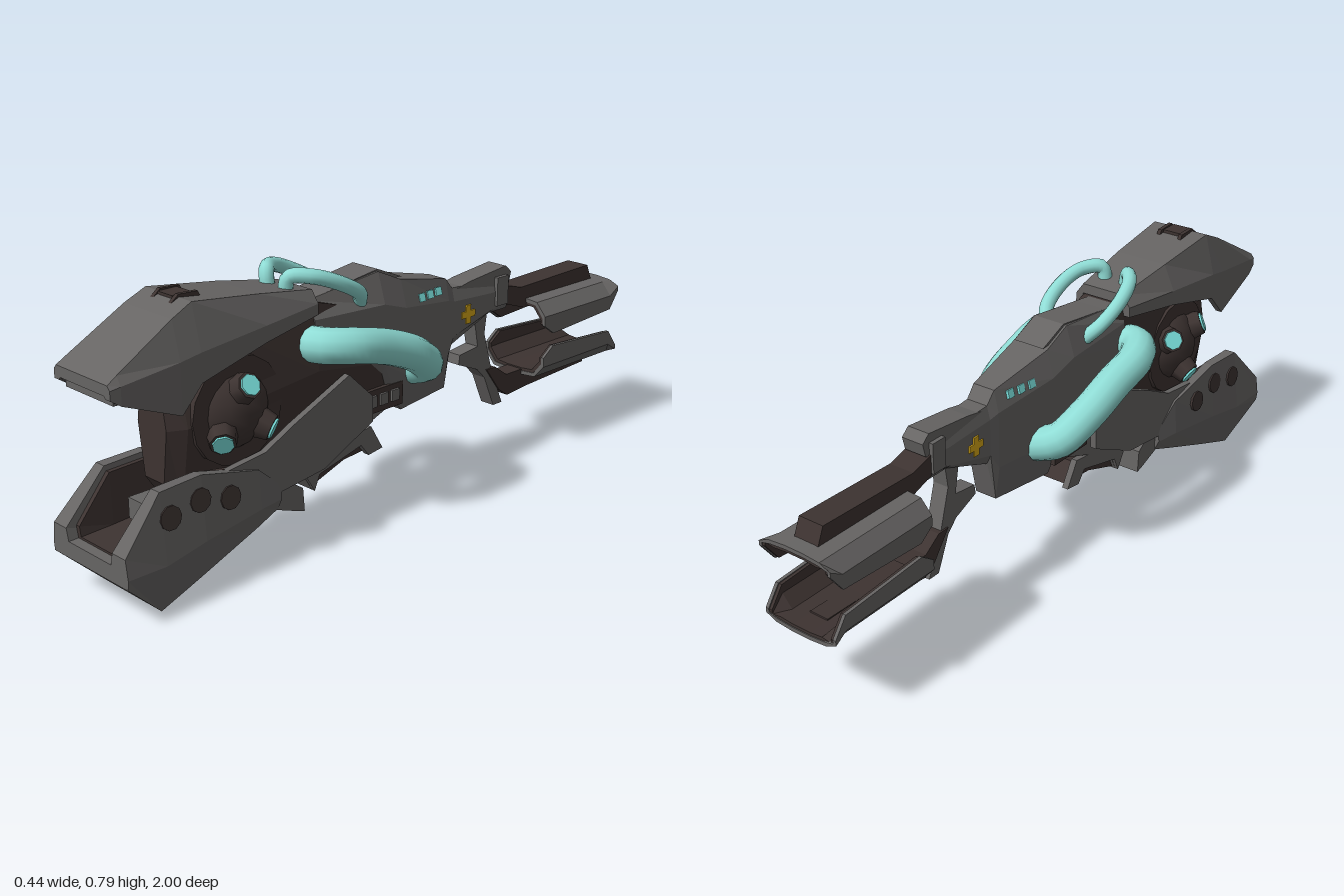
import * as THREE from 'three';

const mat = (name, color) => {
  const m = new THREE.MeshStandardMaterial({ color });
  m.name = name;
  return m;
};

export function createModel() {
  const grey = mat('gunmetal grey', 0x666463);
  const dark = mat('dark brown metal', 0x3d3331);
  const teal = mat('teal hose', 0x8fdcd5);
  const glow = mat('cyan light', 0x7be3df);
  const yellow = mat('yellow mark', 0xd9aa18);
  teal.side = THREE.DoubleSide;

  const model = new THREE.Group();
  const add = (name, geo, material, x = 0, y = 0, z = 0) => {
    const m = new THREE.Mesh(geo, material);
    m.name = name;
    m.position.set(x, y, z);
    model.add(m);
    return m;
  };
  const V = (x, y, z) => new THREE.Vector3(x, y, z);

  // Flat-faced hull through mirrored half profiles: sections are [z, [[x, y], ...]]
  const loft = (name, sections, material) => {
    const rings = [...sections].sort((a, b) => a[0] - b[0]).map(([z, half]) => {
      const ring = [...half, ...half.map(([x, y]) => [-x, y]).reverse()].map(([x, y]) => V(x, y, z));
      return THREE.ShapeUtils.isClockWise(ring) ? ring.reverse() : ring;
    });
    const pos = [];
    const tri = (...p) => p.forEach(v => pos.push(v.x, v.y, v.z));
    for (let k = 0; k + 1 < rings.length; k++) {
      const a = rings[k], b = rings[k + 1];
      a.forEach((p, i) => {
        const j = (i + 1) % a.length;
        tri(p, a[j], b[j]);
        tri(p, b[j], b[i]);
      });
    }
    const cap = (r, back) => THREE.ShapeUtils.triangulateShape(r.map(p => new THREE.Vector2(p.x, p.y)), [])
      .forEach(([a, b, c]) => (back ? tri(r[a], r[c], r[b]) : tri(r[a], r[b], r[c])));
    cap(rings[0], true);
    cap(rings[rings.length - 1], false);
    const g = new THREE.BufferGeometry();
    g.setAttribute('position', new THREE.Float32BufferAttribute(pos, 3));
    g.computeVertexNormals();
    return add(name, g, material);
  };

  // Side outline given as [z, y], extruded across x and centred on x
  const plate = (name, pts, width, material, x = 0) => {
    const shape = new THREE.Shape(pts.map(([z, y]) => new THREE.Vector2(z, y)));
    const g = new THREE.ExtrudeGeometry(shape, { depth: width, bevelEnabled: false });
    g.rotateY(-Math.PI / 2).translate(width / 2, 0, 0);
    return add(name, g, material, x);
  };
  const box = (name, w, h, d, material, x, y, z) => add(name, new THREE.BoxGeometry(w, h, d), material, x, y, z);

  // Upper jaw: hollow hood
  const hood = (z, tx, ty, sx, my, by) =>
    [z, [[tx, ty], [sx, my], [sx, by], [sx - 0.02, by], [sx - 0.025, ty - 0.03]]];
  loft('upperJaw', [
    hood(0.99, 0.108, 0.637, 0.118, 0.625, 0.6), hood(0.96, 0.106, 0.655, 0.121, 0.63, 0.58),
    hood(0.785, 0.098, 0.755, 0.126, 0.65, 0.51), hood(0.72, 0.094, 0.785, 0.126, 0.66, 0.58),
    hood(0.5, 0.085, 0.757, 0.12, 0.68, 0.635), hood(0.3, 0.07, 0.725, 0.095, 0.69, 0.66)], grey);
  box('upperLip', 0.2, 0.03, 0.03, grey, 0, 0.592, 0.955);
  box('jawVent', 0.06, 0.02, 0.06, dark, 0, 0.778, 0.7);
  for (const s of [-1, 1]) plate('ventFin', [[0.755, 0.765], [0.72, 0.793], [0.66, 0.79], [0.65, 0.77]], 0.012, dark, s * 0.037);

  // Mouth core and throat
  loft('mouthCore', [
    [0.79, [[0.04, 0.57], [0.06, 0.45], [0.04, 0.3]]],
    [0.74, [[0.05, 0.6], [0.085, 0.45], [0.05, 0.23]]],
    [0.6, [[0.07, 0.68], [0.095, 0.47], [0.055, 0.23]]],
    [0.3, [[0.07, 0.69], [0.095, 0.5], [0.06, 0.26]]],
    [0, [[0.06, 0.6], [0.075, 0.45], [0.055, 0.34]]]], dark);

  // Lower jaw: open trough
  const trough = (z, bx, by, wx, wy, tx, ty, floor) =>
    [z, [[bx, by], [wx, wy], [tx, ty], [0.1, ty], [0.092, floor]]];
  loft('lowerJaw', [
    trough(1, 0.16, 0.118, 0.163, 0.145, 0.155, 0.2, 0.165),
    trough(0.875, 0.12, 0, 0.156, 0.14, 0.135, 0.335, 0.168),
    trough(0.74, 0.115, 0.047, 0.145, 0.16, 0.13, 0.34, 0.175),
    trough(0.54, 0.108, 0.12, 0.128, 0.18, 0.12, 0.29, 0.2),
    trough(0.46, 0.1, 0.148, 0.115, 0.18, 0.112, 0.22, 0.205)], grey);
  loft('troughLining', [[0.97, 0.2, 0.172], [0.87, 0.32, 0.175], [0.7, 0.325, 0.185], [0.48, 0.29, 0.21]]
    .map(([z, t, f]) => [z, [[0.097, f - 0.012], [0.099, t], [0.085, t], [0.08, f]]]), dark);
  box('tongueBase', 0.13, 0.06, 0.3, grey, 0, 0.215, 0.68);
  plate('lowerJawTail', [[0.48, 0.21], [0.4, 0.2], [0.37, 0.18], [0.365, 0.11], [0.39, 0.117], [0.48, 0.15]], 0.2, grey);

  for (const s of [-1, 1]) {
    // Cheek wings and the round holes of the lower jaw
    plate('cheekWing', [[0.82, 0.32], [0.68, 0.31], [0.51, 0.33], [0.41, 0.38], [0.205, 0.47], [0.115, 0.385],
      [0.115, 0.31], [0.3, 0.22], [0.46, 0.2], [0.76, 0.22]], 0.02, grey, s * 0.103);
    for (const [z, y, x] of [[0.85, 0.26, 0.142], [0.75, 0.275, 0.135], [0.65, 0.25, 0.132]]) {
      const hole = add('jawHole', new THREE.CylinderGeometry(0.033, 0.033, 0.016, 10), dark, s * (x - 0.003), y, z);
      hole.rotation.z = Math.PI / 2 + s * 0.1;
    }

    // Light studs on the side orb, turned over on the far side
    for (const [dz, dy] of [[0, 0.068], [0.075, -0.055], [-0.075, -0.055]]) {
      const dir = V(s * 0.115, s * dy, dz).normalize();
      const stud = (name, r0, r1, len, dist, m) => {
        const p = dir.clone().multiplyScalar(dist);
        add(name, new THREE.CylinderGeometry(r0, r1, len, 8).toNonIndexed(), m, p.x, 0.46 + p.y, 0.58 + p.z)
          .quaternion.setFromUnitVectors(V(0, 1, 0), dir);
      };
      stud('studHousing', 0.036, 0.046, 0.05, 0.138, dark);
      stud('studLight', 0.029, 0.029, 0.008, 0.165, glow);
    }

    // Hoses
    const hose = (name, pts, r) => add(name, new THREE.TubeGeometry(
      new THREE.CatmullRomCurve3(pts.map(([x, y, z]) => V(s * x, y, z))), 28, r, 12), teal);
    hose('largeHose', [[0.06, 0.575, 0.31], [0.12, 0.58, 0.305], [0.163, 0.575, 0.24], [0.168, 0.545, 0.12],
      [0.162, 0.495, 0], [0.125, 0.435, -0.085], [0.05, 0.405, -0.1]], 0.051);
    hose('smallHose', [[0.035, 0.72, 0.365], [0.045, 0.765, 0.36], [0.085, 0.765, 0.31], [0.105, 0.735, 0.23],
      [0.095, 0.69, 0.15], [0.06, 0.65, 0.115]], 0.021);

    // Painted marks on the neck
    for (const z of [-0.13, -0.17, -0.21]) {
      box('neckLight', 0.009, 0.024, 0.024, glow, s * (0.057 + 0.14 * (z + 0.17)), 0.61, z).rotation.z = s * 0.28;
    }
    box('crossUpright', 0.008, 0.058, 0.02, yellow, s * 0.043, 0.508, -0.352);
    box('crossBar', 0.008, 0.02, 0.058, yellow, s * 0.043, 0.508, -0.352);

    // Slotted block below the neck
    for (const z of [0.085, 0.04, -0.005]) box('blockSlot', 0.012, 0.034, 0.03, grey, s * 0.079, 0.35, z);
    // Underside bracket cheeks
    plate('bracketCheek', [[0.33, 0.19], [0.29, 0.23], [0.17, 0.262], [0.08, 0.272], [0.035, 0.195], [0.09, 0.187],
      [0.12, 0.225], [0.28, 0.185], [0.3, 0.14]], 0.02, grey, s * 0.06);
  }

  // Side orb
  add('orb', new THREE.SphereGeometry(0.136, 16, 12), dark, 0, 0.46, 0.58);
  add('orbRing', new THREE.CylinderGeometry(0.15, 0.15, 0.18, 16), dark, 0, 0.46, 0.58).rotation.z = Math.PI / 2;

  // Underside
  box('slottedBlock', 0.155, 0.07, 0.16, dark, 0, 0.348, 0.04);
  plate('bellyPan', [[0.33, 0.2], [0.28, 0.27], [0.115, 0.385], [-0.03, 0.33], [0.1, 0.28]], 0.14, grey);
  plate('bracketCore', [[0.3, 0.145], [0.28, 0.21], [0.1, 0.25], [0.05, 0.2], [0.17, 0.19]], 0.1, dark);
  plate('bracketFront', [[0.33, 0.187], [0.29, 0.228], [0.26, 0.22], [0.3, 0.14]], 0.12, grey);

  // Neck
  loft('neck', [
    [0.3, [[0.05, 0.69], [0.08, 0.64], [0.085, 0.57], [0.07, 0.55]]],
    [0.04, [[0.057, 0.72], [0.085, 0.63], [0.085, 0.45], [0.06, 0.4]]],
    [-0.05, [[0.057, 0.68], [0.08, 0.6], [0.08, 0.4], [0.06, 0.287]]],
    [-0.26, [[0.035, 0.635], [0.05, 0.57], [0.05, 0.4], [0.035, 0.295]]],
    [-0.29, [[0.034, 0.6], [0.044, 0.56], [0.044, 0.45], [0.03, 0.42]]],
    [-0.46, [[0.03, 0.59], [0.04, 0.55], [0.04, 0.495], [0.03, 0.485]]],
    [-0.54, [[0.03, 0.58], [0.036, 0.55], [0.036, 0.5], [0.03, 0.485]]]], grey);
  plate('neckTopPlate', [[0.29, 0.69], [0.035, 0.725], [-0.06, 0.685], [0.04, 0.69]], 0.1, grey);
  plate('rearTopBar', [[-0.28, 0.575], [-0.29, 0.59], [-0.37, 0.605], [-0.53, 0.622], [-0.555, 0.6], [-0.545, 0.56]], 0.07, grey);
  box('rearClamp', 0.095, 0.09, 0.05, grey, 0, 0.55, -0.505);

  // Grip hook and lower strut
  plate('gripHook', [[-0.4, 0.49], [-0.46, 0.49], [-0.45, 0.42], [-0.485, 0.3], [-0.54, 0.172], [-0.5, 0.172],
    [-0.455, 0.275], [-0.42, 0.31], [-0.335, 0.345], [-0.34, 0.375], [-0.42, 0.385]], 0.05, grey);
  plate('lowerStrut', [[-0.46, 0.3], [-0.5, 0.3], [-0.555, 0.262], [-0.66, 0.262], [-0.93, 0.27], [-0.94, 0.213],
    [-0.65, 0.2], [-0.56, 0.192], [-0.52, 0.22]], 0.06, dark);

  // Stock: top rail and two facing curved shells
  plate('stockRail', [[-0.53, 0.56], [-0.6, 0.54], [-0.93, 0.548], [-0.955, 0.49], [-0.62, 0.47], [-0.53, 0.5]], 0.08, dark);
  const shell = (name, flip, inset, material) => loft(name,
    [[-0.625, 0.425], [-0.67, 0.393], [-0.955, 0.41], [-0.995, 0.465]].map(([z, low]) => {
      const o = inset, l = low + o * 0.3, top = 0.5 - o;
      const half = [[0.03, top], [0.085 - o, top - 0.005], [0.12 - o, Math.max(l + 0.015, 0.455 - o)], [0.12 - o, l],
        [0.11 - o, l], [0.11 - o, Math.max(l + 0.012, 0.447 - o)], [0.08 - o, top - 0.016], [0.03, top - 0.012]];
      return [z + (z < -0.8 ? o * 0.3 : -o * 0.3), half.map(([x, y]) => [x, flip ? 0.745 - y : y])];
    }), material);
  for (const flip of [false, true]) {
    shell(flip ? 'lowerStockShell' : 'upperStockShell', flip, 0, grey);
    shell(flip ? 'lowerStockLining' : 'upperStockLining', flip, 0.009, dark);
  }

  return model;
}
